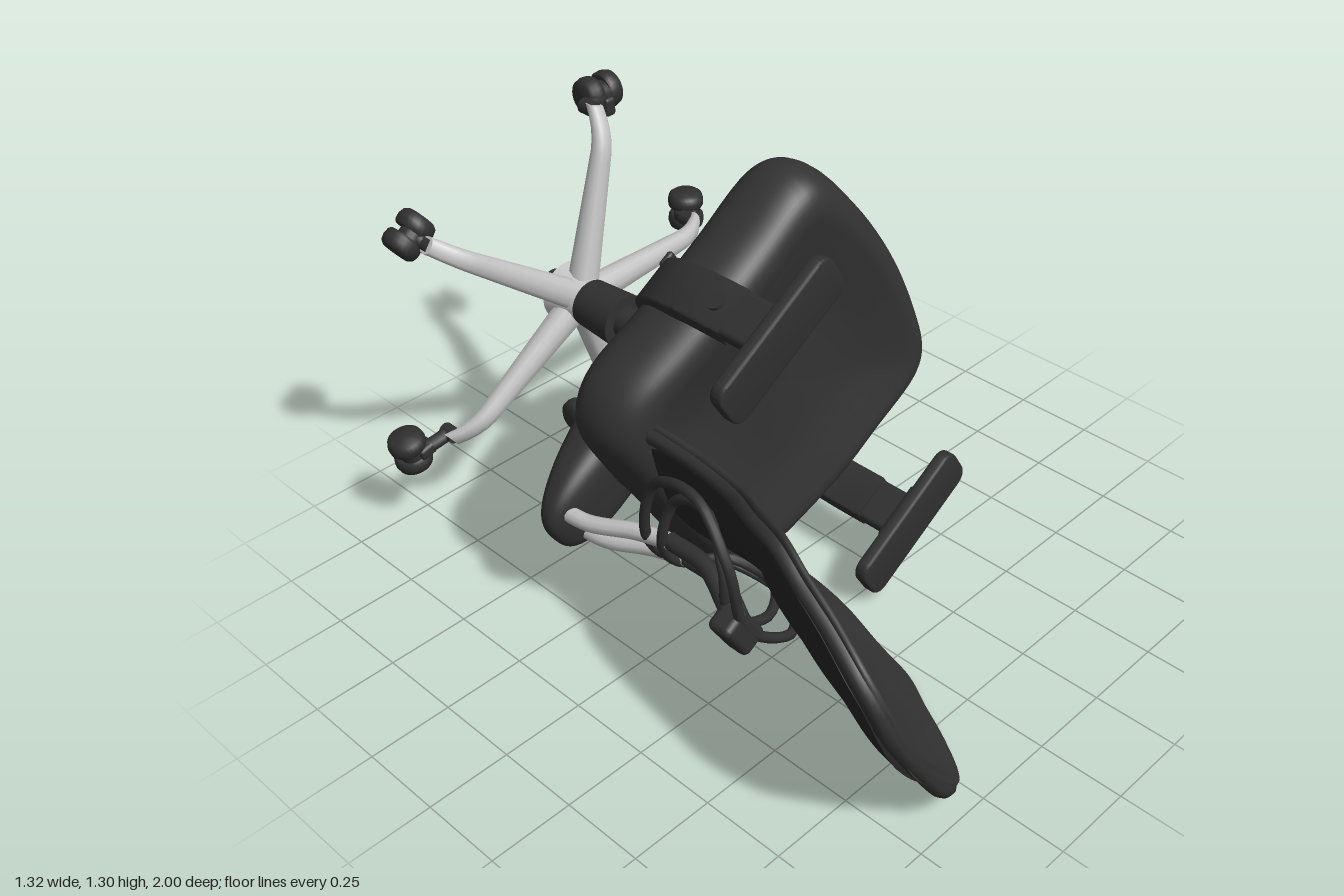
import * as THREE from 'three';
import { RoundedBoxGeometry } from 'three/addons/geometries/RoundedBoxGeometry.js';
import { toCreasedNormals } from 'three/addons/utils/BufferGeometryUtils.js';

const material = (name, color) => {
  const m = new THREE.MeshStandardMaterial({ color });
  m.name = name;
  return m;
};
const fabric = material('charcoal fabric', 0x333333);
const plastic = material('black plastic', 0x303030);
const meshCloth = material('dark mesh', 0x262626);
const metal = material('light metal', 0xc4c4c4);

const V = (x, y, z) => new THREE.Vector3(x, y, z);

function add(parent, name, geometry, mat, x = 0, y = 0, z = 0) {
  const m = new THREE.Mesh(geometry, mat);
  m.name = name;
  m.position.set(x, y, z);
  parent.add(m);
  return m;
}

// Cylinder standing along the chair's upright (z) axis
const post = (rTop, rBottom, h, n = 28) => new THREE.CylinderGeometry(rTop, rBottom, h, n).rotateX(Math.PI / 2);
const tube = (pts, r, closed = false) =>
  new THREE.TubeGeometry(new THREE.CatmullRomCurve3(pts, closed), 48, r, 10, closed);
const signedPow = (v, e) => Math.sign(v) * Math.abs(v) ** e;

// Closed skin over rings that run from top to bottom
function loft(ringCount, sides, pointAt) {
  const pos = [], index = [];
  for (let i = 0; i < ringCount; i++) {
    for (let j = 0; j < sides; j++) pos.push(...pointAt(i / (ringCount - 1), j / sides));
  }
  for (let i = 0; i < ringCount - 1; i++) {
    for (let j = 0; j < sides; j++) {
      const a = i * sides + j, b = i * sides + (j + 1) % sides;
      index.push(a, a + sides, b + sides, a, b + sides, b);
    }
  }
  const g = new THREE.BufferGeometry();
  g.setAttribute('position', new THREE.Float32BufferAttribute(pos, 3));
  g.setIndex(index);
  g.computeVertexNormals();
  return g;
}

// Cushion: a rounded plan outline swept over a pillow-shaped profile, lower at the rear
function buildSeat(chair) {
  const half = [[0.567, 0], [0.547, 0.25], [0.497, 0.45], [0.43, 0.503], [0.2, 0.503], [-0.1, 0.497], [-0.31, 0.472], [-0.405, 0.39], [-0.43, 0.2]];
  const mirrored = half.slice(1).reverse().map(([x, y]) => [x, -y]);
  const outline = new THREE.CatmullRomCurve3([...half, [-0.43, 0], ...mirrored].map(([x, y]) => V(x, y, 0)), true);
  const profile = new THREE.CatmullRomCurve3([
    [0, 0.02], [0.45, 0.03], [0.72, 0.06], [0.85, 0.07], [0.94, 0.045], [0.985, 0], [1, -0.055],
    [0.985, -0.115], [0.92, -0.165], [0.78, -0.19], [0.4, -0.2], [0, -0.2]].map(([s, z]) => V(s, 0, z)));
  add(chair, 'seat', loft(50, 96, (t, a) => {
    const p = profile.getPoint(t), o = outline.getPoint(a), s = Math.max(0, p.x);
    const x = 0.08 + (o.x - 0.08) * s;
    return [x, o.y * s, p.z - 0.045 * THREE.MathUtils.smoothstep(-x, -0.1, 0.42)];
  }), fabric);
}

// Backrest: half width, depth position and height from top to bottom
function buildBack(chair) {
  const spine = new THREE.CatmullRomCurve3([
    [0, -0.61, 0.988], [0.18, -0.608, 0.985], [0.29, -0.605, 0.965], [0.37, -0.595, 0.91], [0.42, -0.557, 0.8],
    [0.457, -0.525, 0.69], [0.482, -0.49, 0.59], [0.462, -0.455, 0.48], [0.4, -0.395, 0.35], [0.385, -0.37, 0.2],
    [0.385, -0.37, 0], [0.33, -0.38, -0.08], [0, -0.38, -0.1]].map(p => V(...p)));
  const bend = w => 0.1 * (w / 0.45) ** 2;
  const back = new THREE.Group();
  back.name = 'back';
  back.position.y = -0.022;
  chair.add(back);
  const shell = (thick, shift, k, zMid) => (t, a) => {
    const p = spine.getPoint(t), c = Math.cos(a * 2 * Math.PI);
    const w = Math.max(0, p.x) * k * Math.sin(a * 2 * Math.PI);
    return [p.y + bend(w) + shift + thick * signedPow(c, 0.5), w, zMid + (p.z - zMid) * k];
  };
  add(back, 'backrest', loft(70, 64, shell(0.022, 0, 1, 0)), fabric);
  // Mesh panel on the rear, framed by a raised rim
  add(back, 'backMesh', loft(70, 64, shell(0.004, -0.024, 0.9, 0.45)), meshCloth);
  const rim = [];
  for (const side of [1, -1]) {
    for (let i = 0; i <= 20; i++) {
      const p = spine.getPoint(0.1 + 0.8 * (side > 0 ? i : 20 - i) / 20), w = p.x * 0.94;
      rim.push(V(p.y + bend(w) - 0.014, side * w, p.z - 0.01));
    }
  }
  const rimCurve = new THREE.CatmullRomCurve3(rim, true);
  add(back, 'backRim', new THREE.TubeGeometry(rimCurve, 140, 0.022, 8, true), plastic);

  // Lumbar bows and their bracket
  for (const s of [1, 0.72]) {
    const bow = [[-0.56, 0, 0.38], [-0.48, 0.22, 0.37], [-0.39, 0.32, 0.24], [-0.4, 0.26, 0.06], [-0.5, 0.08, 0.0]];
    const pts = [...bow, ...bow.slice(1).reverse().map(([x, y, z]) => [x, -y, z])];
    add(chair, 'lumbarBow', tube(pts.map(([x, y, z]) => V(x, y * s, 0.18 + (z - 0.18) * s)), 0.015, true), plastic);
  }
  add(chair, 'lumbarBracket', new RoundedBoxGeometry(0.09, 0.15, 0.08, 3, 0.02), plastic, -0.57, 0, 0.355);
  // Rear carrier: a rounded paddle that thins towards its tip
  add(chair, 'backCarrier', loft(28, 56, (t, a) => {
    const s = Math.sin(t * Math.PI) ** 0.55, rise = signedPow(Math.cos(t * Math.PI), 0.8);
    const x = -0.375 + 0.27 * s * signedPow(Math.cos(a * 2 * Math.PI), 0.7);
    const y = 0.135 * s * signedPow(Math.sin(a * 2 * Math.PI), 0.7);
    const thin = THREE.MathUtils.smoothstep(-x, 0.25, 0.7);
    return [x, y, -0.34 + 0.045 * thin + rise * (0.1 - 0.045 * thin)];
  }), plastic);
  // Struts from the carrier up to the backrest
  for (const y of [-0.055, 0.055]) {
    add(chair, 'backStrut', tube([V(-0.57, y, -0.29), V(-0.56, y, -0.19), V(-0.51, y, -0.05), V(-0.48, y, 0.07)], 0.024), metal);
    add(chair, 'upperStrut', tube([V(-0.48, y, 0.06), V(-0.485, y, 0.2), V(-0.55, y, 0.34)], 0.025), plastic);
  }
}

// One arm on the left; the right one is mirrored
function buildArm(chair, side) {
  const arm = new THREE.Group();
  arm.name = side > 0 ? 'leftArm' : 'rightArm';
  arm.scale.y = side;
  chair.add(arm);
  const pad = new THREE.Shape();
  const a = 0.222, b = 0.066, r = 0.035;
  pad.moveTo(-a + r, -b);
  pad.absarc(a - r, -b + r, r, -Math.PI / 2, 0);
  pad.absarc(a - r, b - r, r, 0, Math.PI / 2);
  pad.absarc(-a + r, b - r, r, Math.PI / 2, Math.PI);
  pad.absarc(-a + r, -b + r, r, Math.PI, Math.PI * 1.5);
  const padGeo = new THREE.ExtrudeGeometry(pad, { depth: 0.025, bevelSize: 0.008, bevelThickness: 0.008, bevelSegments: 3 });
  add(arm, 'armPad', toCreasedNormals(padGeo, 0.7), plastic, 0.017, 0.53, 0.281);
  add(arm, 'padMount', new RoundedBoxGeometry(0.18, 0.09, 0.03, 3, 0.012), plastic, 0.017, 0.53, 0.265);
  add(arm, 'armSlider', new RoundedBoxGeometry(0.135, 0.055, 0.24, 3, 0.015), plastic, 0.017, 0.535, 0.155);
  // Curved bracket running under the seat
  const outline = new THREE.Shape();
  outline.moveTo(0.555, 0.15);
  outline.lineTo(0.505, 0.15);
  outline.splineThru([[0.505, 0.02], [0.485, -0.08], [0.42, -0.16], [0.28, -0.205]].map(p => new THREE.Vector2(...p)));
  outline.lineTo(0.26, -0.24);
  outline.splineThru([[0.44, -0.205], [0.525, -0.11], [0.555, 0.02], [0.555, 0.15]].map(p => new THREE.Vector2(...p)));
  const bracket = new THREE.ExtrudeGeometry(outline, { depth: 0.124, bevelSize: 0.008, bevelThickness: 0.008, bevelSegments: 3, curveSegments: 20 });
  const basis = new THREE.Matrix4().makeBasis(V(0, 1, 0), V(0, 0, 1), V(1, 0, 0));
  add(arm, 'armBracket', toCreasedNormals(bracket.applyMatrix4(basis), 0.7), plastic, -0.045);
  add(arm, 'bracketPlate', new RoundedBoxGeometry(0.2, 0.18, 0.035, 2, 0.01), plastic, 0.017, 0.27, -0.213);
  add(arm, 'armButton', post(0.025, 0.025, 0.012).rotateX(Math.PI / 2), plastic, 0.017, 0.567, 0.1);
}

// Tilt mechanism, knob and levers below the cushion
function buildMechanism(chair) {
  add(chair, 'mountPlate', new RoundedBoxGeometry(0.5, 0.4, 0.04, 2, 0.015), plastic, 0.05, 0, -0.21);
  add(chair, 'tiltHousing', new RoundedBoxGeometry(0.38, 0.24, 0.12, 4, 0.03), plastic, 0.07, 0, -0.265);
  const knob = add(chair, 'tensionKnob', post(0.064, 0.06, 0.14), plastic, 0.19, 0, -0.395);
  knob.rotation.y = -0.1;
  for (const s of [1, -1]) {
    add(chair, 'lever', tube([V(0.1, s * 0.1, -0.25), V(0.1, s * 0.25, -0.25), V(0.1, s * 0.36, -0.235)], 0.013), plastic);
    add(chair, 'leverPaddle', new RoundedBoxGeometry(0.05, 0.12, 0.02, 2, 0.009), plastic, 0.1, s * 0.37, -0.235);
  }
}

function buildCaster(parent, x, y, turn) {
  const caster = new THREE.Group();
  caster.name = 'caster';
  caster.position.set(x, y, -0.942);
  caster.rotation.z = turn;
  parent.add(caster);
  const rounded = [[0, -0.026], [0.042, -0.026], [0.053, -0.018], [0.058, 0], [0.056, 0.018], [0.05, 0.026], [0, 0.026]];
  for (const s of [-1, 1]) {
    const wheel = new THREE.LatheGeometry(rounded.map(([r, h]) => new THREE.Vector2(r, h)), 28);
    if (s < 0) wheel.rotateX(Math.PI);
    add(caster, 'wheel', toCreasedNormals(wheel, 0.7), plastic, 0, -s * 0.036, 0);
  }
  add(caster, 'axleHood', new THREE.CylinderGeometry(0.038, 0.038, 0.05, 20), plastic, 0, 0, 0.012);
  add(caster, 'forkBlock', new RoundedBoxGeometry(0.06, 0.04, 0.06, 2, 0.012), plastic, -0.03, 0, 0.03);
}

// Five-legged base with gas column
function buildBase(chair, heading) {
  const base = new THREE.Group();
  base.name = 'base';
  base.rotation.z = -heading;
  chair.add(base);
  add(base, 'columnRod', post(0.05, 0.05, 0.32), plastic, 0, 0, -0.44);
  add(base, 'columnSleeve', post(0.083, 0.073, 0.155), plastic, 0, 0, -0.652);
  add(base, 'hub', post(0.068, 0.095, 0.11), metal, 0, 0, -0.782);
  add(base, 'hubCap', post(0.05, 0.042, 0.07), plastic, 0, 0, -0.87);

  const casters = [[0.6, 0, 0], [0.255, 0.53, Math.PI / 2], [-0.465, 0.34, 2.2], [-0.56, -0.36, 3.4], [0.12, -0.565, -Math.PI / 2]];
  casters.forEach(([x, y, turn], i) => {
    // Tapered leg that dips towards its tip
    const leg = new THREE.CylinderGeometry(1, 1, 0.54, 12, 18).rotateZ(-Math.PI / 2).translate(0.3, 0, 0);
    const p = leg.attributes.position;
    for (let k = 0; k < p.count; k++) {
      const t = (p.getX(k) - 0.03) / 0.54;
      const drop = 0.035 * t + 0.055 * Math.max(0, (t - 0.76) / 0.24) ** 2;
      const c = signedPow(p.getY(k), 0.7), s = signedPow(p.getZ(k), 0.8);
      p.setXYZ(k, p.getX(k), c * (0.046 - 0.02 * t), s * (0.044 - 0.022 * t) - 0.777 - drop);
    }
    leg.computeVertexNormals();
    const angle = i * 2 * Math.PI / 5;
    add(base, 'leg', toCreasedNormals(leg, 0.8), metal).rotation.z = angle;
    const ex = 0.555 * Math.cos(angle), ey = 0.555 * Math.sin(angle);
    add(base, 'casterStem', post(0.024, 0.024, 0.05, 16), plastic, ex, ey, -0.885);
    add(base, 'casterNeck', tube([V(ex, ey, -0.89), V((ex + x) / 2, (ey + y) / 2, -0.9), V(x, y, -0.92)], 0.022), plastic);
    buildCaster(base, x, y, turn);
  });
}

export function createModel() {
  const model = new THREE.Group();
  model.name = 'officeChair';
  // The chair lies with its upright axis along +z and its front turned in the xy plane
  const heading = THREE.MathUtils.degToRad(32);
  const chair = new THREE.Group();
  chair.name = 'chair';
  chair.position.set(-0.01, 0.64, 0);
  chair.rotation.z = heading;
  model.add(chair);
  buildSeat(chair);
  buildBack(chair);
  buildArm(chair, 1);
  buildArm(chair, -1);
  buildMechanism(chair);
  buildBase(chair, heading);
  return model;
}
